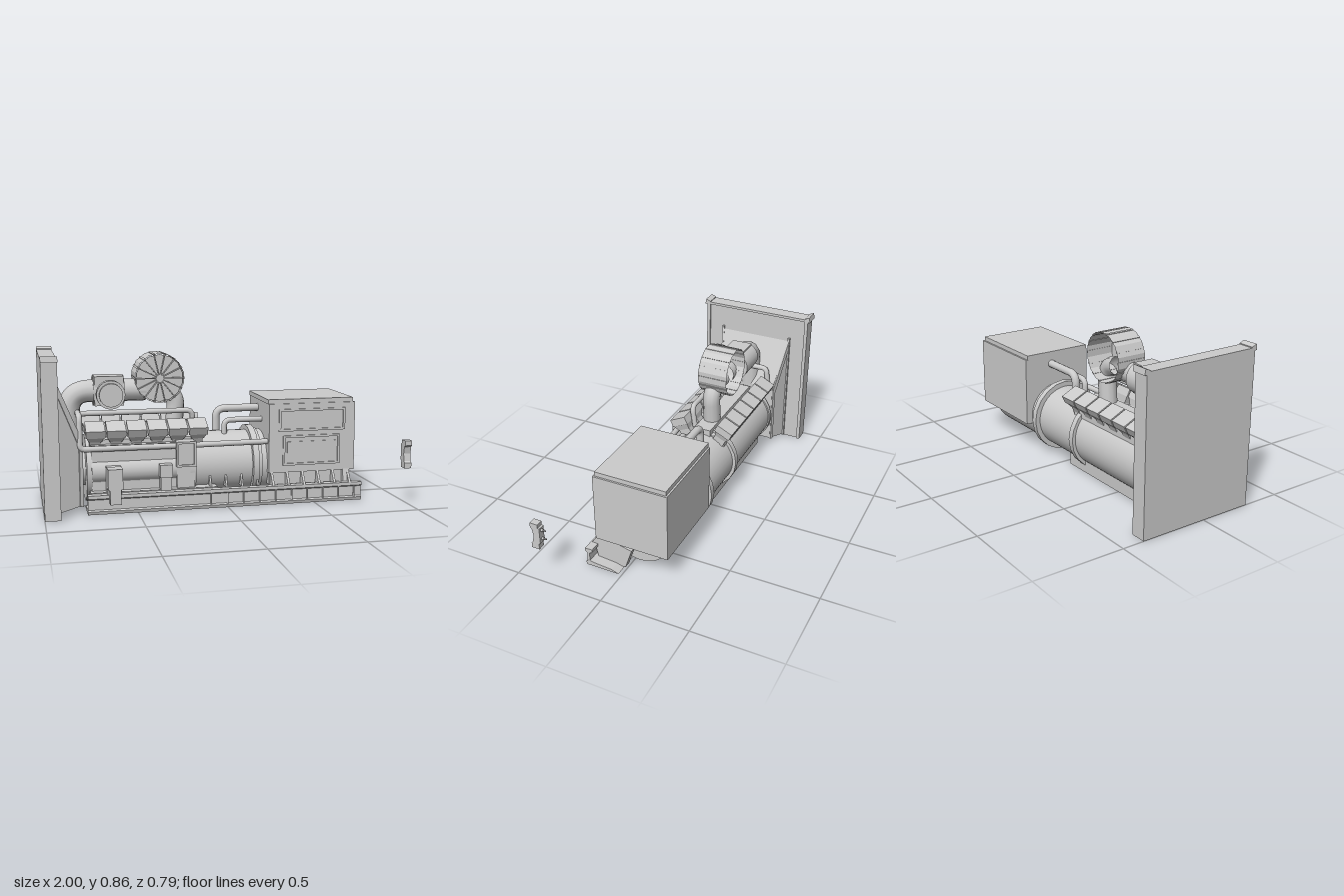
import * as THREE from 'three';

const mat = new THREE.MeshStandardMaterial({ color: 0xcccccc, side: THREE.DoubleSide });
const flat = new THREE.MeshStandardMaterial({ color: 0xcccccc, side: THREE.DoubleSide, flatShading: true });
const CZ = -0.045, CY = 0.21; // engine axis

export function createModel() {
  const root = new THREE.Group();
  const add = (name, geo, m = flat) => {
    const mesh = new THREE.Mesh(geo, m);
    mesh.name = name;
    root.add(mesh);
    return mesh;
  };
  // Box from its limits
  const box = (name, x0, x1, y0, y1, z0, z1) => add(name,
    new THREE.BoxGeometry(x1 - x0, y1 - y0, z1 - z0).translate((x0 + x1) / 2, (y0 + y1) / 2, (z0 + z1) / 2));
  // Profile of [z, y] points extruded along x
  const prism = (name, pts, x0, x1) => add(name,
    new THREE.ExtrudeGeometry(new THREE.Shape(pts.map(([z, y]) => new THREE.Vector2(-z, y))),
      { depth: x1 - x0, bevelEnabled: false }).rotateY(Math.PI / 2).translate(x0, 0, 0));
  const cylX = (name, r, x0, x1, y, z, n = 32) => add(name,
    new THREE.CylinderGeometry(r, r, x1 - x0, n).rotateZ(Math.PI / 2).translate((x0 + x1) / 2, y, z), mat);
  const cylZ = (name, r, z0, z1, x, y, n = 24, open = false, m = mat) => add(name,
    new THREE.CylinderGeometry(r, r, z1 - z0, n, 1, open).rotateX(Math.PI / 2).translate(x, y, (z0 + z1) / 2), m);
  // Pipe along points, with rounded corners
  const pipe = (name, r, pts, bend = 0.04) => {
    const v = pts.map(p => new THREE.Vector3(...p));
    const path = new THREE.CurvePath();
    let last = v[0];
    for (let i = 1; i < v.length - 1; i++) {
      const a = v[i].clone().add(v[i - 1].clone().sub(v[i]).setLength(bend));
      const b = v[i].clone().add(v[i + 1].clone().sub(v[i]).setLength(bend));
      path.add(new THREE.LineCurve3(last, a));
      path.add(new THREE.QuadraticBezierCurve3(a, v[i], b));
      last = b;
    }
    path.add(new THREE.LineCurve3(last, v[v.length - 1]));
    return add(name, new THREE.TubeGeometry(path, 48, r, 12), mat);
  };

  // Radiator: core and raised frame
  box('radiatorCore', -1, -0.925, 0, 0.845, -0.38, 0.29);
  box('radiatorFrameTop', -0.93, -0.915, 0.83, 0.845, -0.38, 0.29);
  for (const s of [-1, 1]) {
    const e = CZ + s * 0.335;
    box('radiatorFrameSide', -0.93, -0.915, 0, 0.845, Math.min(e, e - s * 0.02), Math.max(e, e - s * 0.02));
    prism('radiatorCap', [[e - s * 0.02, 0.85], [e + s * 0.008, 0.862], [e + s * 0.014, 0.83], [e - s * 0.02, 0.83]], -1, -0.913);
  }

  // Fan shroud: a tapered box, narrow end towards the engine
  const shroud = new THREE.BoxGeometry(0.13, 1, 1);
  const p = shroud.attributes.position;
  for (let i = 0; i < p.count; i++) {
    const near = p.getX(i) > 0;
    p.setY(i, p.getY(i) > 0 ? (near ? 0.4 : 0.68) : (near ? 0.035 : 0.01));
    p.setZ(i, CZ + Math.sign(p.getZ(i)) * (near ? 0.175 : 0.222));
  }
  add('fanShroud', shroud.translate(-0.855, 0, 0));
  for (const s of [-1, 1]) {
    const z = CZ + s * 0.215;
    prism('shroudLip', [[z, 0.005], [z + s * 0.012, 0.005], [z + s * 0.012, 0.7], [z, 0.7]], -0.925, -0.91);
    const edge = new THREE.Shape([[-0.92, 0.7], [-0.92, 0.64], [-0.805, 0.36], [-0.805, 0.03], [-0.785, 0.03], [-0.785, 0.39]]
      .map(q => new THREE.Vector2(...q)));
    const rib = add('shroudEdge', new THREE.ExtrudeGeometry(edge, { depth: 0.012, bevelEnabled: false }));
    rib.position.set(-0.855, 0, CZ + s * 0.2 - 0.006);
    rib.geometry.translate(0.855, 0, 0);
    rib.rotation.y = s * 0.33;
  }

  // Engine and generator barrel, with flanges
  cylX('engineBarrel', 0.178, -0.75, 0.66, CY, CZ, 40);
  cylX('frontFlange', 0.186, -0.765, -0.735, CY, CZ);
  cylX('middleFlange', 0.198, -0.2, -0.165, CY, CZ, 20);
  cylX('rearFlange', 0.207, 0.16, 0.195, CY, CZ, 20);
  cylX('rearFlangeLip', 0.19, 0.195, 0.215, CY, CZ, 20);
  cylX('crankHub', 0.1, -0.8, -0.75, CY, CZ);
  box('engineBlock', -0.74, -0.17, 0.11, 0.36, -0.1, 0.125);
  box('oilPan', -0.75, -0.05, 0.002, 0.11, -0.155, 0.17);

  // Base rail with stiffeners
  prism('baseRail', [[0.21, 0], [0.02, 0], [0.06, 0.015], [0.17, 0.025], [0.192, 0.03], [0.192, 0.08], [0.175, 0.088],
    [0.175, 0.106], [0.218, 0.106], [0.218, 0.088], [0.206, 0.08], [0.206, 0.025], [0.216, 0.018]], -0.77, 0.78);
  for (let i = 0; i < 10; i++) box('railStiffener', -0.1 + i * 0.0925, -0.093 + i * 0.0925, 0.02, 0.09, 0.2, 0.214);

  // Mount beneath the cabinet and gusset plates
  prism('cabinetMount', [[0.17, 0.175], [-0.03, 0.125], [0.01, 0.005], [0.17, 0.01], [0.19, 0.09]], 0.68, 0.72);
  for (let i = 0; i < 6; i++)
    prism('gusset', [[0.16, 0.18], [0.215, 0.1], [0.06, 0.1], [0.06, 0.18]], 0.255 + i * 0.09, 0.268 + i * 0.09);
  box('gussetRail', 0.25, 0.72, 0.1, 0.17, 0.1, 0.15);
  for (let i = 0; i < 4; i++)
    prism('barrelFin', [[0.12, 0.18], [0.16, 0.1], [0.05, 0.1], [0.05, 0.18]], -0.09 + i * 0.09, -0.08 + i * 0.09);

  // Control cabinet
  box('cabinet', 0.245, 0.75, 0.17, 0.56, -0.258, 0.165);
  box('cabinetLid', 0.24, 0.74, 0.56, 0.585, -0.248, 0.157);
  const panel = (name, x0, x1, y0, y1) => {
    const r = 0.012, z0 = 0.16, z1 = 0.173;
    box(name, x0, x1, y0, y0 + r, z0, z1);
    box(name, x0, x1, y1 - r, y1, z0, z1);
    box(name, x0, x0 + r, y0, y1, z0, z1);
    box(name, x1 - r, x1, y0, y1, z0, z1);
  };
  panel('upperPanel', 0.3, 0.69, 0.405, 0.53);
  panel('lowerPanel', 0.325, 0.66, 0.21, 0.38);
  box('lowerPanelDoor', 0.35, 0.635, 0.245, 0.345, 0.16, 0.169);

  // Cylinder heads: two tilted banks of six
  for (const s of [-1, 1]) {
    for (let i = 0; i < 6; i++) {
      const head = new THREE.Group();
      head.name = 'cylinderHead';
      const cover = new THREE.Mesh(new THREE.BoxGeometry(0.104, 0.045, 0.1), flat);
      cover.name = 'rockerCover';
      cover.position.y = 0.035;
      const skirt = new THREE.Mesh(new THREE.CylinderGeometry(0.066, 0.05, 0.035, 4).rotateY(Math.PI / 4), flat);
      skirt.name = 'headSkirt';
      skirt.position.y = -0.005;
      const neck = new THREE.Mesh(new THREE.BoxGeometry(0.06, 0.09, 0.07), flat);
      neck.name = 'headNeck';
      neck.position.y = -0.05;
      head.add(cover, skirt, neck);
      head.position.set(-0.715 + i * 0.113, 0.41, CZ + s * 0.125);
      head.rotation.x = s * 0.45;
      root.add(head);
    }
    box('manifold', -0.74, -0.13, 0.33, 0.385, CZ + s * 0.09 - 0.045, CZ + s * 0.09 + 0.045);
  }
  box('valleyCover', -0.72, -0.12, 0.34, 0.42, CZ - 0.05, CZ + 0.05);

  // Coolant and cable pipes
  pipe('coolantPipe', 0.016, [[-0.76, 0.345, 0.14], [-0.8, 0.345, 0.14], [-0.8, 0.525, 0.125], [-0.8, 0.525, -0.17], [-0.8, 0.36, -0.19]], 0.03);
  pipe('upperPipe', 0.015, [[-0.8, 0.525, 0.04], [-0.165, 0.525, 0.04], [-0.165, 0.4, 0.02]]);
  pipe('sidePipe', 0.016, [[-0.78, 0.345, 0.14], [-0.2, 0.345, 0.14], [0.25, 0.345, 0.125]], 0.02);
  pipe('cablePipe', 0.022, [[-0.005, 0.35, -0.085], [-0.005, 0.51, -0.085], [0.26, 0.51, -0.085]], 0.055);
  pipe('cablePipe', 0.016, [[0.025, 0.36, 0], [0.025, 0.455, 0], [0.26, 0.455, 0]]);

  // Air filter: open ribbed drum with spoked face
  const fx = -0.345, fy = 0.705;
  cylZ('filterDrum', 0.138, -0.15, 0.025, fx, fy, 14, true, flat);
  cylZ('filterFace', 0.132, 0.008, 0.014, fx, fy, 14);
  cylZ('filterHub', 0.022, 0.01, 0.03, fx, fy, 12);
  for (let i = 0; i < 14; i++) {
    const a = (i / 14) * Math.PI * 2;
    const spoke = add('filterSpoke', new THREE.BoxGeometry(0.125, 0.006, 0.014).translate(0.068, 0, 0));
    spoke.position.set(fx, fy, 0.018);
    spoke.rotation.z = a;
    const rib = add('filterRib', new THREE.BoxGeometry(0.006, 0.012, 0.175).translate(0.135, 0, 0));
    rib.position.set(fx, fy, -0.0625);
    rib.rotation.z = a;
  }

  // Intake ducting and turbo housing
  pipe('intakeDuct', 0.062, [[-0.845, 0.4, CZ], [-0.845, 0.638, CZ], [-0.42, 0.638, CZ]], 0.12);
  pipe('filterElbow', 0.05, [[-0.36, 0.65, -0.06], [-0.24, 0.62, CZ], [-0.26, 0.4, CZ]], 0.09);
  cylX('turboHousing', 0.084, -0.71, -0.54, 0.638, -0.06, 24);
  box('turboBody', -0.705, -0.545, 0.56, 0.722, -0.1, 0.02);
  cylZ('turboNeck', 0.06, 0.01, 0.06, -0.625, 0.63);
  cylZ('turboFlange', 0.078, 0.06, 0.105, -0.625, 0.63);
  cylZ('turboCap', 0.064, 0.1, 0.124, -0.625, 0.63);

  // Units along the front side
  box('filterPost', -0.665, -0.585, 0.005, 0.25, 0.14, 0.2);
  box('filterPostUpper', -0.665, -0.585, 0.14, 0.252, 0.18, 0.257);
  box('filterPostLower', -0.655, -0.595, 0.06, 0.15, 0.18, 0.257);
  box('smallUnit', -0.375, -0.305, 0.18, 0.25, 0.12, 0.192);
  box('smallUnitBracket', -0.37, -0.31, 0.1, 0.19, 0.12, 0.18);
  box('starter', -0.275, -0.175, 0.1, 0.37, 0.08, 0.15);
  panel('starterCover', -0.28, -0.17, 0.23, 0.37);
  box('starterCoverBack', -0.28, -0.17, 0.23, 0.37, 0.14, 0.164);
  cylX('sideTank', 0.075, -0.74, -0.18, 0.215, 0.075, 20);

  // Detached bracket with two bolts
  prism('bracket', [[0.392, 0.365], [0.347, 0.365], [0.347, 0.345], [0.338, 0.34], [0.338, 0.25], [0.347, 0.245],
    [0.347, 0.21], [0.392, 0.21], [0.392, 0.24], [0.383, 0.25], [0.375, 0.29], [0.383, 0.33], [0.392, 0.338]], 0.96, 1);
  for (const y of [0.272, 0.324]) {
    cylZ('boltHead', 0.008, 0.325, 0.34, 0.98, y, 8);
    cylZ('bolt', 0.004, 0.312, 0.33, 0.98, y, 8);
  }
  return root;
}
